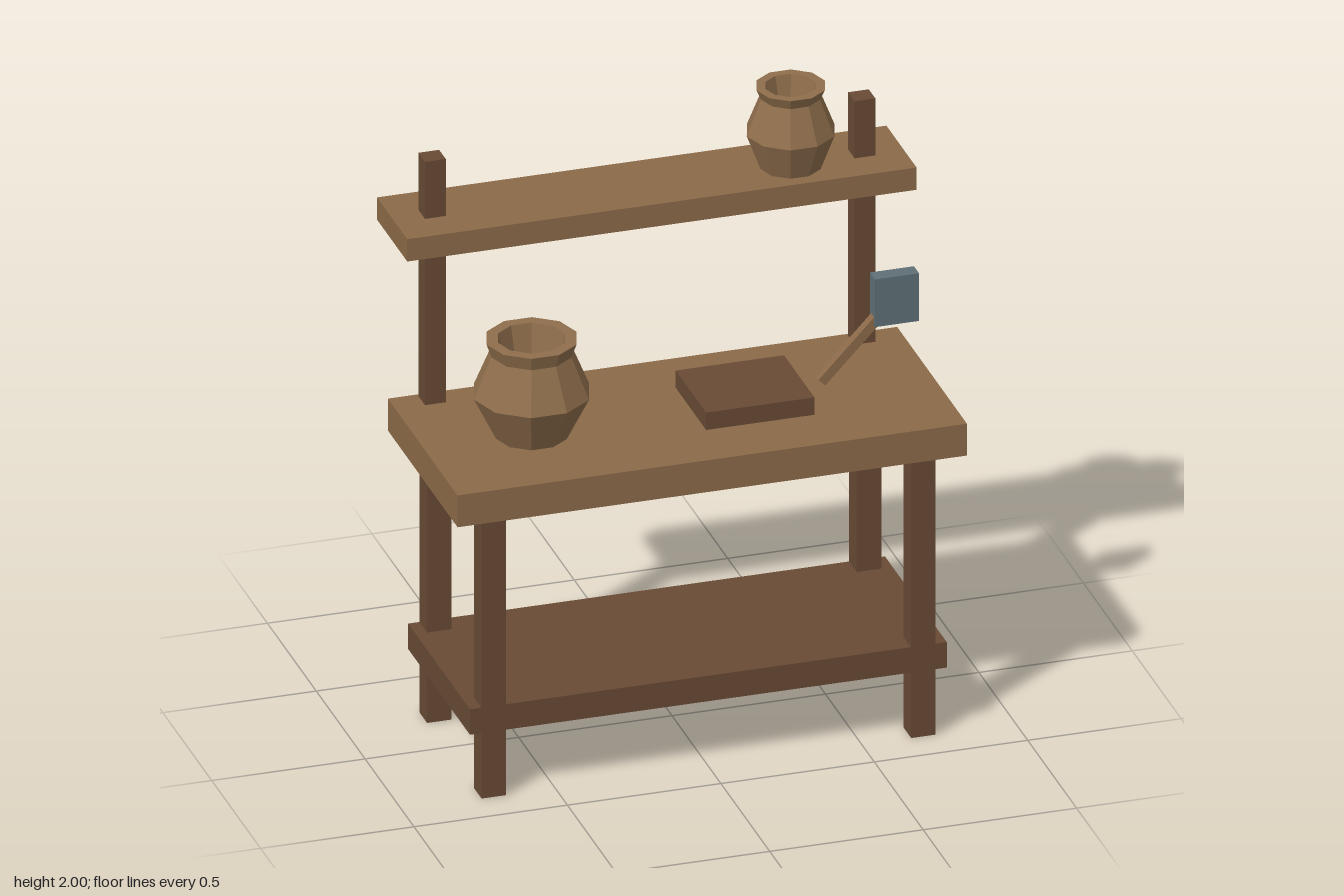
import * as THREE from 'three';

const mat = (name, color) => {
  const m = new THREE.MeshStandardMaterial({ color });
  m.name = name;
  return m;
};

export function createModel() {
  const group = new THREE.Group();
  const wood = mat('light wood', 0x8b6a48);
  const darkWood = mat('dark wood', 0x684a35);
  const clay = mat('clay', 0x8f6e4c);
  const steel = mat('dull steel', 0x5f7076);
  clay.flatShading = true;

  const add = (name, geometry, material, x, y, z) => {
    const mesh = new THREE.Mesh(geometry, material);
    mesh.name = name;
    mesh.position.set(x, y, z);
    group.add(mesh);
    return mesh;
  };
  // Box given by its low and high limits on each axis
  const box = (name, material, [x0, x1], [y0, y1], [z0, z1]) =>
    add(name, new THREE.BoxGeometry(x1 - x0, y1 - y0, z1 - z0), material,
      (x0 + x1) / 2, (y0 + y1) / 2, (z0 + z1) / 2);

  // Bench boards
  box('benchTop', wood, [-0.83, 0.83], [0.97, 1.08], [-0.302, 0.412]);
  box('lowerShelf', darkWood, [-0.777, 0.777], [0.225, 0.313], [-0.26, 0.372]);
  box('upperShelf', wood, [-0.83, 0.83], [1.648, 1.725], [-0.412, -0.103]);

  // Legs and rear posts
  for (const s of [-1, 1]) {
    const side = s > 0 ? 'left' : 'right';
    for (const [end, z] of [['Front', 0.335], ['Back', -0.222]])
      add(side + end + 'Leg', new THREE.BoxGeometry(0.08, 0.98, 0.08), darkWood, s * 0.7, 0.49, z);
    add(side + 'Post', new THREE.BoxGeometry(0.068, 0.9, 0.068), darkWood, s * 0.7, 1.472, -0.257);
  }

  // Ten-sided hollow pots, profile from the base up and back down inside
  const pot = (name, x, y, z, profile) => {
    const points = profile.map(([r, h]) => new THREE.Vector2(r, h));
    add(name, new THREE.LatheGeometry(points, 10), clay, x, y, z).rotation.y = Math.PI / 2;
  };
  pot('largePot', -0.48, 1.08, 0.07, [
    [0, 0], [0.115, 0], [0.188, 0.147], [0.131, 0.285], [0.147, 0.332],
    [0.109, 0.332], [0.083, 0.2], [0, 0.2]]);
  pot('smallPot', 0.463, 1.725, -0.24, [
    [0, 0], [0.098, 0], [0.143, 0.12], [0.096, 0.24], [0.112, 0.275],
    [0.082, 0.275], [0.056, 0.17], [0, 0.17]]);

  // Board lying on the bench
  box('choppingBoard', darkWood, [0.045, 0.398], [1.08, 1.14], [-0.103, 0.208]);

  // Mallet with a slanted handle
  box('malletHead', steel, [0.637, 0.78], [1.287, 1.452], [0.027, 0.079]);
  const handle = add('malletHandle', new THREE.BoxGeometry(0.34, 0.031, 0.031), wood, 0.584, 1.238, 0.053);
  handle.rotation.z = 0.81;

  return group;
}
